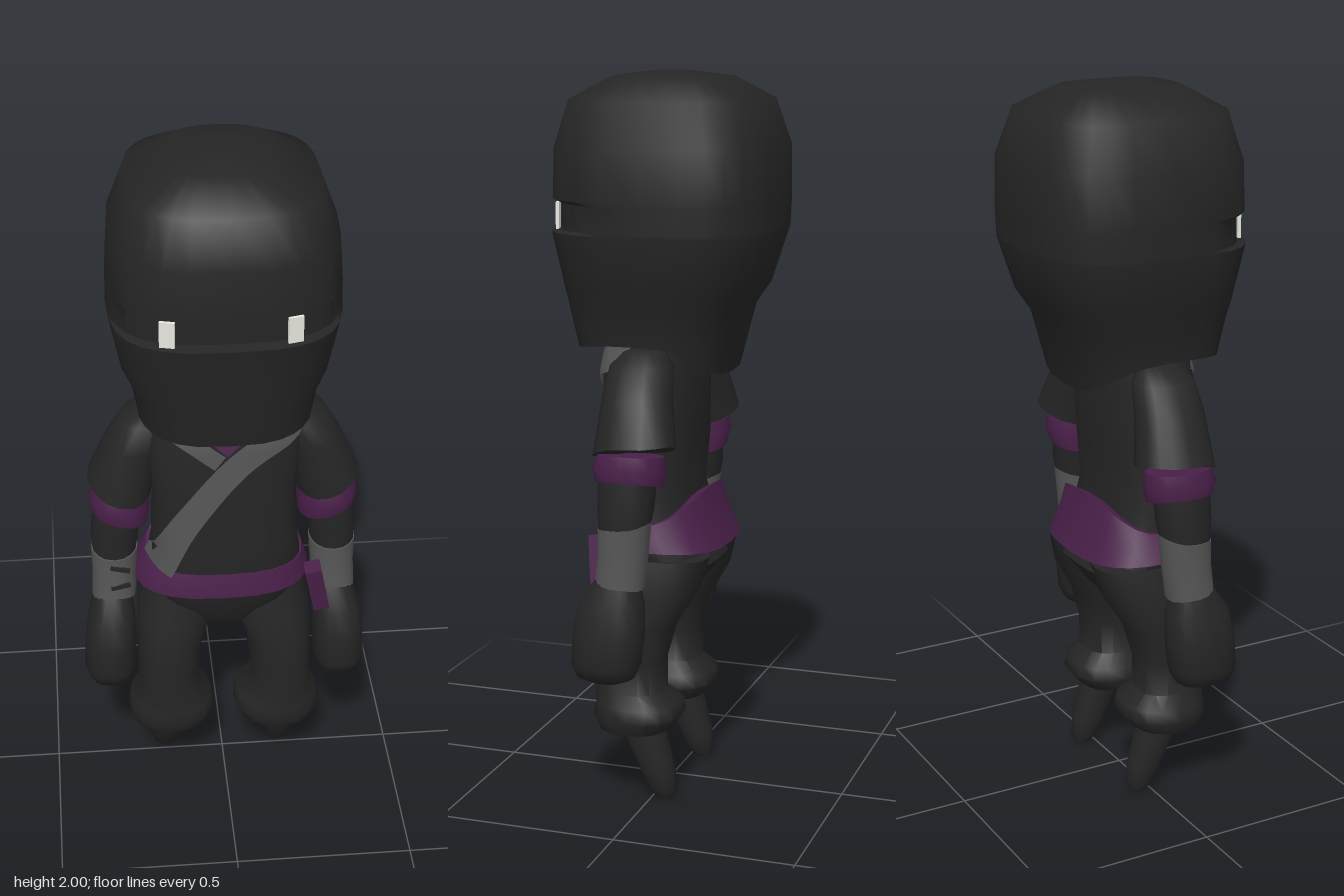
import * as THREE from 'three';
import { toCreasedNormals } from 'three/addons/utils/BufferGeometryUtils.js';

const mat = (name, color, side = THREE.FrontSide) => {
  const m = new THREE.MeshStandardMaterial({ color, side });
  m.name = name;
  return m;
};

// Superellipse point for angle t and roundness n
const superPoint = (t, n) => {
  const f = (v) => Math.sign(v) * Math.abs(v) ** (2 / n);
  return [f(Math.cos(t)), f(Math.sin(t))];
};

// Closed body through horizontal rings, listed from top to bottom:
// [x, y, z, rx, rz, frontRise, backRise, sideRise, frontInset]
function loft(rows, n = 2, seg = 16, mirror = 1) {
  const pos = [], idx = [];
  for (const [x, y, z, rx, rz, front = 0, back = 0, side = 0, inset = 0] of rows) {
    for (let j = 0; j < seg; j++) {
      const t = (j / seg) * Math.PI * 2, s = Math.sin(t);
      const [px, pz] = superPoint(t, n);
      const rise = (s > 0 ? front : back) * s * s + side * mirror * px;
      pos.push(x * mirror + px * rx, y + rise, z + pz * rz - (s > 0.4 ? inset : 0));
    }
  }
  for (let i = 0; i < rows.length - 1; i++) {
    for (let j = 0; j < seg; j++) {
      const k = (j + 1) % seg, a = i * seg + j, b = i * seg + k;
      idx.push(a, b, a + seg, b, b + seg, a + seg);
    }
  }
  const top = rows.length * seg, last = top - seg;
  for (const r of [rows[0], rows[rows.length - 1]]) pos.push(r[0] * mirror, r[1], r[2]);
  for (let j = 0; j < seg; j++) {
    const k = (j + 1) % seg;
    idx.push(top, k, j, top + 1, last + j, last + k);
  }
  const g = new THREE.BufferGeometry();
  g.setAttribute('position', new THREE.Float32BufferAttribute(pos, 3));
  g.setIndex(idx);
  return toCreasedNormals(g, 0.9);
}

const TORSO_N = 2.6;
const torsoRows = [
  [0, 1.27, 0.045, 0.19, 0.115], [0, 1.2, 0.045, 0.215, 0.127],
  [0, 1.0, 0.047, 0.2, 0.132], [0, 0.86, 0.055, 0.205, 0.125],
  [0, 0.75, 0.04, 0.22, 0.14], [0, 0.66, 0.01, 0.215, 0.15], [0, 0.58, 0.02, 0.13, 0.1],
];

// Depth of the chest surface at a given x, y
function chestZ(x, y) {
  let i = 0;
  while (i < torsoRows.length - 2 && torsoRows[i + 1][1] > y) i++;
  const a = torsoRows[i], b = torsoRows[i + 1];
  const t = THREE.MathUtils.clamp((a[1] - y) / (a[1] - b[1]), 0, 1);
  const [cz, rx, rz] = [2, 3, 4].map((k) => a[k] + (b[k] - a[k]) * t);
  return cz + rz * (1 - Math.min(1, Math.abs(x) / rx) ** TORSO_N) ** (1 / TORSO_N);
}

// Cloth strip lying on the chest along a curve
function chestStrip(points, width, lift) {
  const curve = new THREE.CatmullRomCurve3(points.map(([x, y]) => new THREE.Vector3(x, y, 0)));
  const g = new THREE.PlaneGeometry(1, 1, 4, 20);
  const p = g.attributes.position, uv = g.attributes.uv;
  for (let i = 0; i < p.count; i++) {
    const t = 1 - uv.getY(i), c = curve.getPoint(t), d = curve.getTangent(t);
    const w = (uv.getX(i) - 0.5) * width;
    const x = c.x - d.y * w, y = c.y + d.x * w;
    p.setXYZ(i, x, y, chestZ(x, y) + lift);
  }
  g.computeVertexNormals();
  return g;
}

export function createModel() {
  const black = mat('black cloth', 0x252525);
  const purple = mat('purple cloth', 0x4a204a, THREE.DoubleSide);
  const grey = mat('grey wrap', 0x565656, THREE.DoubleSide);
  const white = mat('eye white', 0xeeeee6);
  const model = new THREE.Group();
  model.name = 'hoodedFighter';
  const add = (name, geometry, material) => {
    const m = new THREE.Mesh(geometry, material);
    m.name = name;
    model.add(m);
    return m;
  };

  // Hood with a recessed eye slot and a flap at the nape
  add('hood', loft([
    [0, 2.0, 0, 0.03, 0.05], [0, 1.985, 0, 0.13, 0.16], [0, 1.925, 0, 0.25, 0.265],
    [0, 1.8, -0.003, 0.296, 0.303], [0, 1.665, -0.002, 0.306, 0.304],
    [0, 1.655, -0.002, 0.306, 0.304, 0, 0, 0, 0.025],
    [0, 1.585, 0, 0.308, 0.302, 0, 0, 0, 0.025], [0, 1.578, 0.002, 0.308, 0.304],
    [0, 1.43, 0.01, 0.278, 0.265], [0, 1.37, 0.025, 0.25, 0.24],
    [0, 1.28, 0.035, 0.235, 0.205, -0.025, -0.09],
  ], 3, 28), black);

  // Torso and hips
  add('torso', loft(torsoRows, TORSO_N, 24), black);
  add('neck', new THREE.CylinderGeometry(0.12, 0.13, 0.14, 14).translate(0, 1.3, 0.04), black);

  // Undershirt showing in the neckline
  const vee = new THREE.BufferGeometry().setFromPoints(
    [[-0.1, 1.268], [0, 1.18], [0.1, 1.268]].map(([x, y]) => new THREE.Vector3(x, y, chestZ(x, y) + 0.006)));
  vee.computeVertexNormals();
  add('undershirt', vee, purple);

  // Crossed lapel strips
  add('longSash', chestStrip([[0.21, 1.25], [0.08, 1.19], [0.0, 1.12], [-0.12, 0.95], [-0.19, 0.79]], 0.075, 0.01), grey);
  add('shortLapel', chestStrip([[-0.17, 1.26], [-0.1, 1.22], [-0.02, 1.16]], 0.05, 0.007), grey);

  // Belt, wider and flared at the back, with a hanging end
  add('belt', loft([
    [0, 0.79, 0.033, 0.222, 0.152, 0, 0.08], [-0.005, 0.755, 0.028, 0.238, 0.165, 0, 0.03],
    [-0.008, 0.72, 0.015, 0.25, 0.182, 0, -0.015],
  ], 2.6, 24), purple);
  const tail = add('beltEnd', new THREE.BoxGeometry(0.045, 0.15, 0.05), purple);
  tail.position.set(0.258, 0.69, 0.12);
  tail.rotation.set(0.12, 0, 0.2);

  for (const s of [1, -1]) {
    const side = s > 0 ? 'left' : 'right';
    const part = (name, rows, material, n = 2.2) => add(side + name, loft(rows, n, 16, s), material);

    const eye = add(side + 'Eye', new THREE.BoxGeometry(0.04, 0.072, 0.009), white);
    eye.position.set(0.162 * s, 1.618, 0.272);
    eye.rotation.y = 0.25 * s;

    part('Sleeve', [
      [0.17, 1.27, 0.02, 0.04, 0.05], [0.205, 1.23, 0.02, 0.075, 0.085],
      [0.245, 1.15, 0.018, 0.082, 0.095], [0.288, 1.01, 0.012, 0.088, 0.112, -0.02, 0.02, 0.022],
    ], black);
    part('ArmBand', [
      [0.287, 1.0, 0.022, 0.078, 0.09, 0, 0, 0.01], [0.29, 0.96, 0.025, 0.084, 0.1, 0, 0, 0.015],
      [0.29, 0.92, 0.025, 0.08, 0.09, 0, 0, 0.02],
    ], purple);
    part('Forearm', [
      [0.29, 0.97, 0.028, 0.07, 0.08], [0.305, 0.86, 0.03, 0.068, 0.076],
      [0.31, 0.78, 0.035, 0.06, 0.065], [0.315, 0.62, 0.05, 0.052, 0.055],
    ], black);
    part('WristWrap', [
      [0.308, 0.81, 0.033, 0.066, 0.072, -0.01, 0.015], [0.31, 0.73, 0.037, 0.062, 0.068],
      [0.314, 0.65, 0.045, 0.062, 0.066, 0.02, -0.01],
    ], grey);
    part('Hand', [
      [0.315, 0.67, 0.052, 0.05, 0.055], [0.322, 0.6, 0.065, 0.066, 0.088],
      [0.328, 0.52, 0.072, 0.072, 0.098], [0.332, 0.43, 0.078, 0.074, 0.094],
      [0.33, 0.395, 0.08, 0.062, 0.08], [0.33, 0.38, 0.08, 0.035, 0.045],
    ], black, 2.5);

    // Baggy trouser leg gathered above the ankle, and a tapered foot
    part('TrouserLeg', [
      [0.125, 0.69, -0.005, 0.1, 0.14], [0.137, 0.6, 0.015, 0.112, 0.135],
      [0.157, 0.5, 0.055, 0.094, 0.115], [0.163, 0.4, 0.068, 0.088, 0.1],
      [0.16, 0.31, 0.067, 0.088, 0.098], [0.156, 0.275, 0.045, 0.118, 0.118],
      [0.156, 0.24, 0.046, 0.127, 0.124], [0.158, 0.2, 0.055, 0.105, 0.1],
    ], black, 2.4);
    part('Foot', [
      [0.168, 0.24, 0.035, 0.052, 0.065], [0.17, 0.19, 0.028, 0.052, 0.062],
      [0.17, 0.08, -0.012, 0.042, 0.05], [0.17, 0.025, -0.026, 0.036, 0.039],
      [0.17, 0.0, -0.035, 0.02, 0.022],
    ], black);
  }

  // Gaps between the windings on the right wrist
  for (const [y, tilt] of [[0.77, -0.25], [0.71, 0.2]]) {
    const gap = add('wrapGap', new THREE.BoxGeometry(0.055, 0.012, 0.009), black);
    gap.position.set(-0.295, y, 0.105);
    gap.rotation.z = tilt;
  }
  return model;
}
